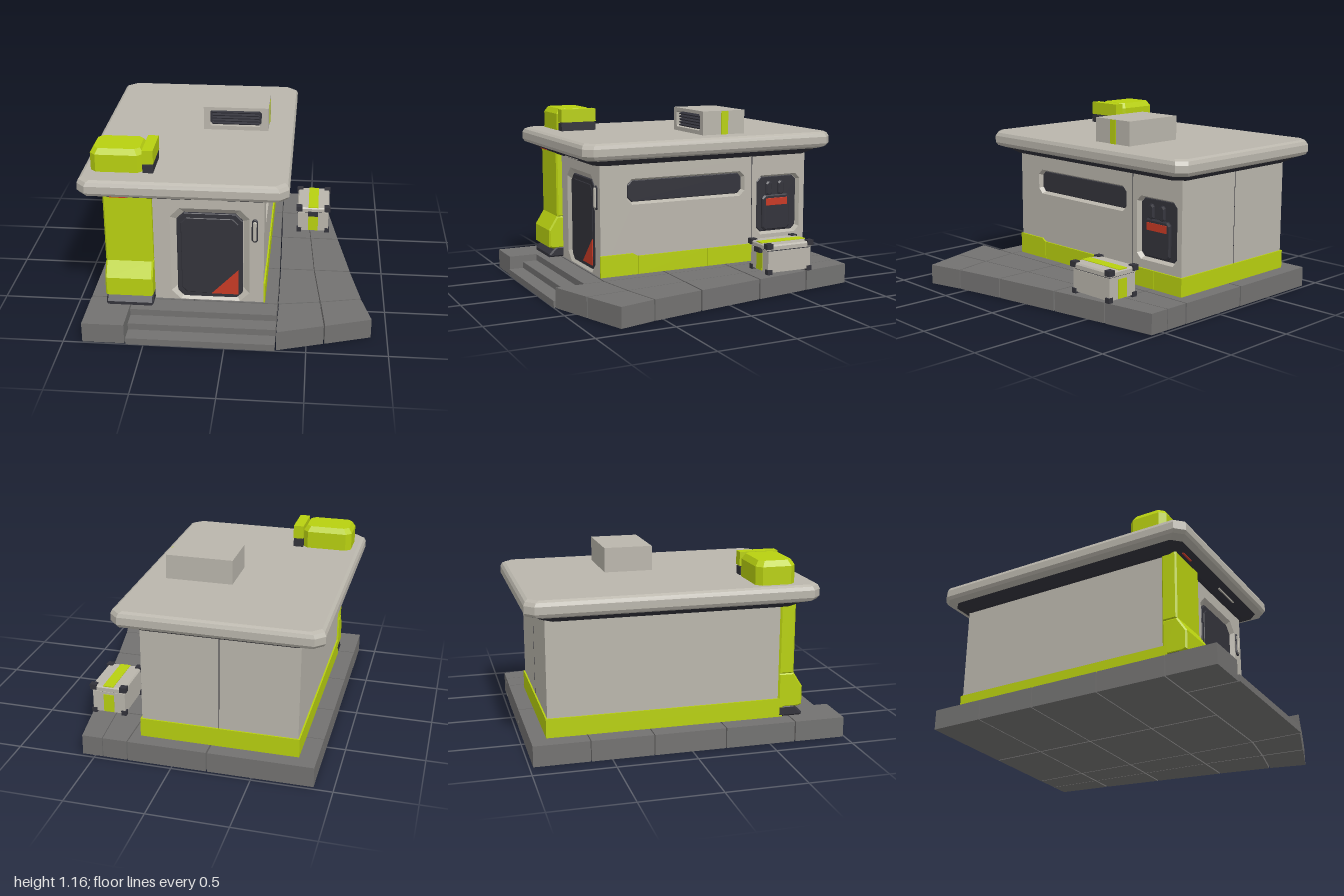
import * as THREE from 'three';

const mat = (name, color) => {
  const m = new THREE.MeshStandardMaterial({ color });
  m.name = name;
  return m;
};

// Chamfered rectangle, counter-clockwise
const ring = (x0, y0, x1, y1, c) => [
  [x0 + c, y0], [x1 - c, y0], [x1, y0 + c], [x1, y1 - c],
  [x1 - c, y1], [x0 + c, y1], [x0, y1 - c], [x0, y0 + c]];

// Flat-sided solid through [outline, height] levels, stacked along z
function loft(levels, caps = true) {
  const p = [];
  const tri = (...v) => v.forEach(([q, h]) => p.push(q[0], q[1], h));
  const n = levels[0][0].length;
  for (let l = 0; l + 1 < levels.length; l++) {
    const [A, a] = levels[l], [B, b] = levels[l + 1];
    for (let i = 0; i < n; i++) {
      const j = (i + 1) % n;
      tri([A[i], a], [A[j], a], [B[j], b]);
      tri([A[i], a], [B[j], b], [B[i], b]);
    }
  }
  if (caps) {
    const [A, a] = levels[0], [B, b] = levels[levels.length - 1];
    for (let i = 1; i + 1 < n; i++) {
      tri([A[0], a], [A[i + 1], a], [A[i], a]);
      tri([B[0], b], [B[i], b], [B[i + 1], b]);
    }
  }
  const g = new THREE.BufferGeometry();
  g.setAttribute('position', new THREE.Float32BufferAttribute(p, 3));
  g.computeVertexNormals();
  return g;
}
const upLoft = levels => loft(levels).rotateX(-Math.PI / 2);
const toShape = pts => new THREE.Shape(pts.map(p => new THREE.Vector2(p[0], p[1])));

export function createModel() {
  const root = new THREE.Group();
  const shell = mat('warm grey shell', 0xbab6ac);
  const stone = mat('paving grey', 0x737271);
  const lime = mat('lime trim', 0xb8d010);
  const dark = mat('charcoal', 0x33333b);
  const red = mat('signal red', 0xc83a25);

  const add = (parent, name, geo, m) => {
    const mesh = new THREE.Mesh(geo, m);
    mesh.name = name;
    parent.add(mesh);
    return mesh;
  };
  const group = (name, x = 0, y = 0, z = 0) => {
    const g = new THREE.Group();
    g.name = name;
    g.position.set(x, y, z);
    root.add(g);
    return g;
  };
  // Box given by its limits
  const box = (parent, name, m, x0, x1, y0, y1, z0, z1) =>
    add(parent, name, new THREE.BoxGeometry(x1 - x0, y1 - y0, z1 - z0)
      .translate((x0 + x1) / 2, (y0 + y1) / 2, (z0 + z1) / 2), m);
  // Chamfered plate facing local +z
  const plate = (parent, name, m, x0, y0, x1, y1, c, z0, z1, b = 0.004) =>
    add(parent, name, loft([[ring(x0, y0, x1, y1, c), z0], [ring(x0, y0, x1, y1, c), z1 - b],
      [ring(x0 + b, y0 + b, x1 - b, y1 - b, c), z1]]), m);

  // Paving: rows of [x, z] corners, each quad becomes a tile
  const paving = group('paving');
  const tile = pts => {
    const cx = pts.reduce((s, p) => s + p[0], 0) / 4, cz = pts.reduce((s, p) => s + p[1], 0) / 4;
    const out = pts.map(([x, z]) => {
      const k = 1 - 0.006 / Math.hypot(x - cx, z - cz);
      return [cx + (x - cx) * k, -(cz + (z - cz) * k)];
    });
    add(paving, 'pavingTile', upLoft([[out, 0], [out, 0.13]]), stone);
  };
  const rows = [
    [[-0.885, -0.98], [-0.22, -0.98], [0.29, -0.98], [0.45, -0.98], [0.585, -0.98]],
    [[-0.885, -0.63], [-0.22, -0.63], [0.29, -0.63], [0.477, -0.63], [0.637, -0.63]],
    [[-0.885, -0.24], [-0.22, -0.24], [0.3, -0.24], [0.506, -0.24], [0.7, -0.24]],
    [[-0.885, 0.215], [-0.22, 0.215], [0.31, 0.215], [0.537, 0.215], [0.777, 0.215]],
    [[-0.885, 0.665], [-0.22, 0.665], [0.315, 0.665], [0.58, 0.62], [0.843, 0.56]],
    [null, null, [0.315, 0.995], [0.61, 0.9], [0.905, 0.803]]];
  for (let r = 0; r < 5; r++)
    for (let c = r === 4 ? 2 : 0; c < 4; c++)
      tile([rows[r + 1][c], rows[r + 1][c + 1], rows[r][c + 1], rows[r][c]]);
  tile([[-0.885, 0.995], [-0.615, 0.995], [-0.615, 0.665], [-0.885, 0.665]]);
  [1, 0.9, 0.8].forEach((z, i) =>
    box(paving, 'entranceStep', stone, -0.61, 0.31, i * 0.0434, (i + 1) * 0.0433, 0.67, z));

  // Building core
  const building = group('building');
  box(building, 'wallCore', shell, -0.76, 0.19, 0.13, 0.88, -0.87, 0.62);
  box(building, 'backSeam', dark, -0.272, -0.268, 0.25, 0.87, -0.871, -0.86);

  // Wall panel with recessed openings; each opening is [x0, y0, x1, y1, chamfer]
  const wall = (parent, x0, x1, openings, rim) => {
    const s = toShape([[x0, 0.13], [x1, 0.13], [x1, 0.88], [x0, 0.88]]);
    openings.forEach(o => s.holes.push(toShape(ring(...o))));
    add(parent, 'wallPanel', new THREE.ExtrudeGeometry(s, { depth: 0.03, bevelEnabled: false })
      .translate(0, 0, -0.03), shell);
    openings.forEach(([a, b, c, d, k]) => add(parent, 'openingFrame',
      loft([[ring(a, b, c, d, k), 0], [ring(a + rim, b + rim, c - rim, d - rim, k * 0.8), -0.03]], false), shell));
  };

  // Front wall with door
  const front = group('frontWall', 0, 0, 0.65);
  wall(front, -0.76, 0.22, [[-0.365, 0.131, 0.13, 0.775, 0.06]], 0.038);
  plate(front, 'door', dark, -0.326, 0.14, 0.087, 0.737, 0.045, -0.031, -0.014);
  plate(front, 'doorInset', dark, -0.3, 0.175, 0.06, 0.705, 0.035, -0.015, -0.01);
  add(front, 'doorTriangle', loft([[[[-0.11, 0.175], [0.06, 0.175], [0.06, 0.35]], -0.012],
    [[[-0.11, 0.175], [0.06, 0.175], [0.06, 0.35]], -0.006]]), red);
  plate(front, 'doorHandlePlate', dark, 0.143, 0.56, 0.182, 0.717, 0.012, -0.001, 0.008);
  plate(front, 'doorHandle', shell, 0.151, 0.572, 0.174, 0.705, 0.008, 0.007, 0.02);

  // Right wall (local x runs towards the back) with window and utility bay
  const side = group('sideWall', 0.22, 0, 0);
  side.rotation.y = Math.PI / 2;
  wall(side, -0.65, 0.87, [[-0.465, 0.585, 0.395, 0.752, 0.035], [0.49, 0.305, 0.832, 0.712, 0.035]], 0.014);
  plate(side, 'windowPane', dark, -0.451, 0.6, 0.38, 0.738, 0.028, -0.031, -0.022);
  box(side, 'wallSeam', dark, 0.45, 0.454, 0.25, 0.87, -0.01, 0.001);
  plate(side, 'utilityBay', dark, 0.506, 0.32, 0.816, 0.698, 0.03, -0.031, -0.024);
  plate(side, 'utilityBox', dark, 0.543, 0.33, 0.762, 0.572, 0.02, -0.026, -0.006, 0.008);
  plate(side, 'utilityLabel', red, 0.57, 0.5, 0.737, 0.55, 0.001, -0.008, -0.003, 0.001);
  for (const u of [0.575, 0.668])
    plate(side, 'utilityPlug', dark, u, 0.565, u + 0.046, 0.667, 0.014, -0.026, -0.008, 0.008);

  // Lime skirting
  const skirting = group('skirting');
  [[-0.88, -0.652], [-0.648, -0.112], [-0.108, 0.388]].forEach(([a, b]) =>
    box(skirting, 'sideSkirt', lime, 0.219, 0.23, 0.13, 0.25, a, b));
  add(skirting, 'sideSkirtFront', new THREE.ExtrudeGeometry(
    toShape([[-0.655, 0.13], [-0.392, 0.13], [-0.392, 0.25], [-0.43, 0.27], [-0.655, 0.27]]),
    { depth: 0.011, bevelEnabled: false }).rotateY(Math.PI / 2).translate(0.22, 0, 0), lime);
  box(skirting, 'backSkirt', lime, -0.77, 0.229, 0.13, 0.25, -0.88, -0.869);
  box(skirting, 'leftSkirt', lime, -0.77, -0.759, 0.13, 0.25, -0.88, 0.62);

  // Front corner column: side profiles [z, y] swept across its width
  const column = group('cornerColumn', -0.47, 0, 0);
  const columnPart = (name, m, pts) => add(column, name, new THREE.ExtrudeGeometry(toShape(pts), {
    depth: 0.28, bevelEnabled: true, bevelSize: 0.01, bevelThickness: 0.01, bevelOffset: -0.01, bevelSegments: 1,
  }).translate(0, 0, 0.01).rotateY(-Math.PI / 2), m);
  columnPart('columnShaft', lime, [[0.59, 0.41], [0.69, 0.41], [0.69, 0.89], [0.59, 0.89]]);
  columnPart('columnBase', lime,
    [[0.59, 0.19], [0.72, 0.19], [0.75, 0.2], [0.75, 0.32], [0.69, 0.415], [0.59, 0.415]]);
  columnPart('columnFoot', dark, [[0.59, 0.13], [0.75, 0.13], [0.75, 0.15], [0.7, 0.2], [0.59, 0.2]]);

  // Roof slab and soffit
  const roof = group('roof');
  const roofRing = (d, c = 0.055) => ring(-0.908 + d, -0.803 + d, 0.372 - d, 1 - d, c);
  add(roof, 'roofSlab', upLoft([[roofRing(0.05), 0.89], [roofRing(0.012), 0.905], [roofRing(0), 0.925],
    [roofRing(0), 0.97], [roofRing(0.01), 0.992], [roofRing(0.028), 1.003]]), shell);
  add(roof, 'soffit', upLoft([[roofRing(0.12), 0.85], [roofRing(0.05), 0.892]]), dark);
  box(roof, 'soffitMark', red, -0.72, -0.61, 0.863, 0.87, 0.69, 0.715);
  box(roof, 'soffitLamp', shell, -0.22, 0, 0.863, 0.87, 0.69, 0.715);

  // Roof ventilator
  const vent = group('roofVentilator');
  box(vent, 'ventBody', shell, -0.23, 0.2, 1, 1.16, -0.4, -0.148);
  const face = toShape([[-0.23, 1], [0.2, 1], [0.2, 1.16], [-0.23, 1.16]]);
  face.holes.push(toShape(ring(-0.19, 1.03, 0.155, 1.138, 0.012)));
  add(vent, 'ventFrame', new THREE.ExtrudeGeometry(face, { depth: 0.058, bevelEnabled: false })
    .translate(0, 0, -0.148), shell);
  box(vent, 'ventBack', dark, -0.19, 0.155, 1.03, 1.138, -0.15, -0.135);
  for (let i = 0; i < 5; i++) {
    const slat = box(vent, 'ventSlat', dark, -0.175, 0.14, -0.004, 0.004, -0.014, 0.014);
    slat.position.set(0, 1.045 + i * 0.0195, -0.115);
    slat.rotation.x = 0.4;
  }
  box(vent, 'ventStripe', lime, 0.195, 0.204, 1.003, 1.158, -0.276, -0.225);

  // Lime roof unit above the column
  const unit = group('roofUnit');
  const unitRing = (d, c) => ring(-0.845 + d, -0.652 + d, -0.518 - d, -0.402 - d, c);
  add(unit, 'unitHousing', upLoft([[unitRing(0, 0.035), 1], [unitRing(0, 0.035), 1.115],
    [unitRing(0.022, 0.03), 1.15]]), lime);
  box(unit, 'unitCap', lime, -0.522, -0.455, 1.062, 1.15, 0.402, 0.652);
  box(unit, 'unitCapFoot', dark, -0.522, -0.457, 1, 1.055, 0.404, 0.65);
  box(unit, 'unitCapCore', dark, -0.522, -0.47, 1.05, 1.07, 0.415, 0.64);

  // Storage crate
  const crate = group('crate', 0.518, 0.13, -0.503);
  box(crate, 'crateBody', shell, -0.108, 0.108, 0.012, 0.152, -0.16, 0.16);
  box(crate, 'crateSeal', dark, -0.104, 0.104, 0.15, 0.162, -0.156, 0.156);
  add(crate, 'crateLid', upLoft([[ring(-0.115, -0.17, 0.115, 0.17, 0.01), 0.16],
    [ring(-0.115, -0.17, 0.115, 0.17, 0.01), 0.185], [ring(-0.107, -0.162, 0.107, 0.162, 0.01), 0.195]]), shell);
  box(crate, 'lidStripe', lime, -0.035, 0.035, 0.192, 0.198, -0.165, 0.165);
  for (const s of [-1, 1]) {
    box(crate, 'bodyStripe', lime, -0.035, 0.035, 0.014, 0.135, s * 0.161 - 0.003, s * 0.161 + 0.003);
    for (const t of [-1, 1]) {
      const corner = (name, w, y0, y1, ox, oz) => box(crate, name, dark,
        s * ox - w, s * ox + w, y0, y1, t * oz - w, t * oz + w);
      corner('lidCorner', 0.022, 0.168, 0.203, 0.1, 0.154);
      corner('crateFoot', 0.017, 0, 0.032, 0.1, 0.15);
    }
  }
  box(crate, 'crateLatch', dark, -0.038, 0.034, 0.132, 0.165, 0.155, 0.182);
  return root;
}
